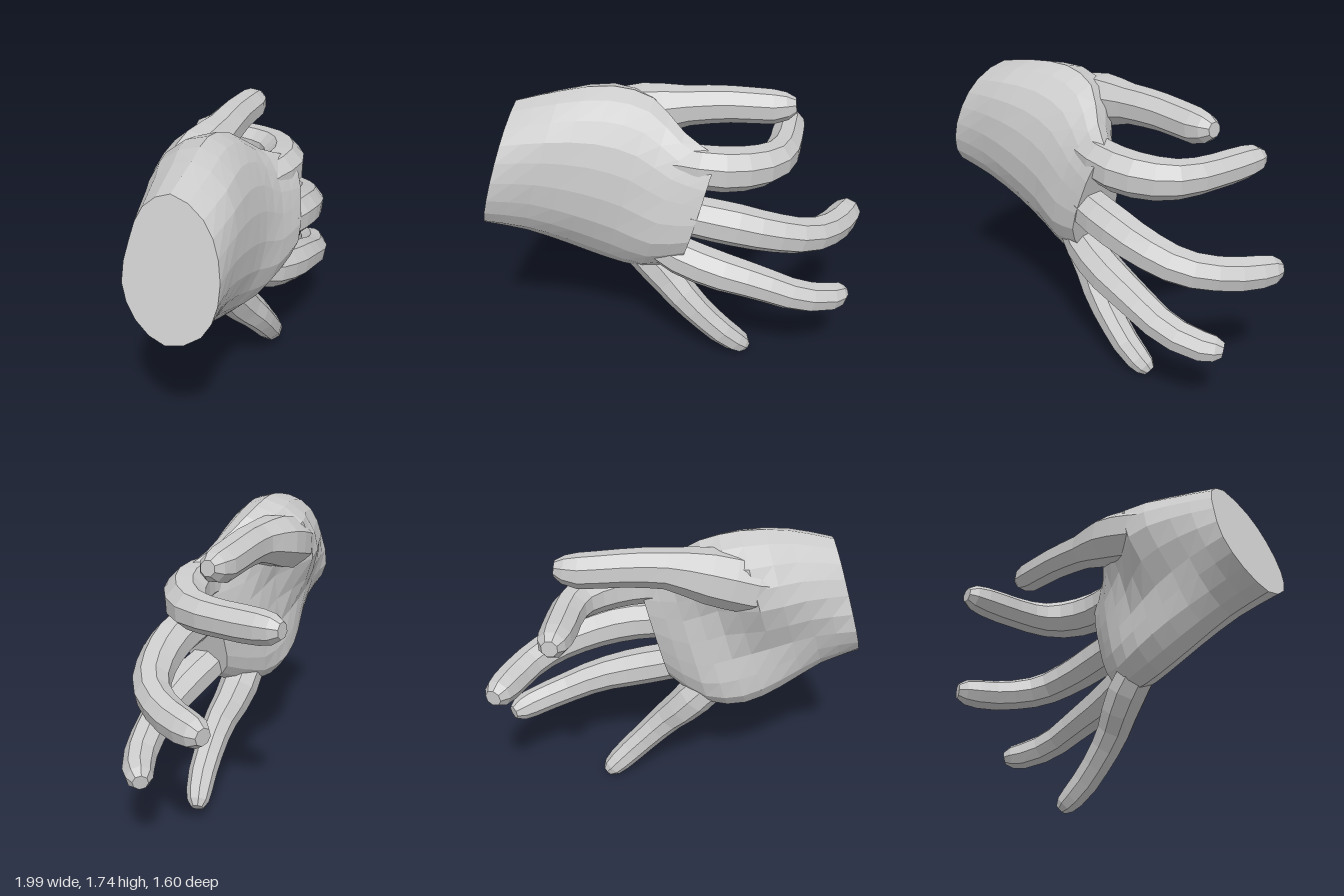
import * as THREE from 'three';

const material = new THREE.MeshStandardMaterial({ color: 0xcccccc, flatShading: true });

// Skin a list of equal-length point rings, closing both ends with a fan
function loft(rings) {
  const n = rings[0].length, pos = [], idx = [];
  rings.forEach(r => r.forEach(p => pos.push(p.x, p.y, p.z)));
  for (let i = 0; i < rings.length - 1; i++) {
    for (let j = 0; j < n; j++) {
      const k = (j + 1) % n, a = i * n, b = a + n;
      idx.push(a + j, a + k, b + j, a + k, b + k, b + j);
    }
  }
  [0, rings.length - 1].forEach((ri, end) => {
    const c = new THREE.Vector3();
    rings[ri].forEach(p => c.addScaledVector(p, 1 / n));
    const ci = pos.length / 3;
    pos.push(c.x, c.y, c.z);
    for (let j = 0; j < n; j++) {
      const a = ri * n + j, b = ri * n + (j + 1) % n;
      if (end) idx.push(ci, a, b); else idx.push(ci, b, a);
    }
  });
  const g = new THREE.BufferGeometry();
  g.setAttribute('position', new THREE.Float32BufferAttribute(pos, 3));
  g.setIndex(idx);
  const flat = g.toNonIndexed();
  flat.computeVertexNormals();
  return flat;
}

// Tapered digit along a curve; each key is [x, y, z, radius]
function digit(keys, steps = 12, sides = 8) {
  const curve = new THREE.CatmullRomCurve3(keys.map(k => new THREE.Vector3(k[0], k[1], k[2])));
  const last = keys.length - 1;
  // dense steps near the end round off the fingertip
  const us = [];
  for (let i = 0; i < steps; i++) us.push(0.91 * i / (steps - 1));
  us.push(0.965, 1);
  const round = u => (u > 0.99 ? 0.55 : u > 0.95 ? 0.9 : 1);
  let normal = new THREE.Vector3(0, 1, 0);
  const rings = us.map(u => {
    const t = curve.getUtoTmapping(u), f = t * last;
    const i = Math.min(Math.floor(f), last - 1);
    const r = THREE.MathUtils.lerp(keys[i][3], keys[i + 1][3], f - i) * round(u);
    const c = curve.getPoint(t), d = curve.getTangent(t);
    normal = normal.clone().addScaledVector(d, -normal.dot(d)).normalize();
    const side = new THREE.Vector3().crossVectors(d, normal);
    return Array.from({ length: sides }, (_, j) => {
      const a = (j + 0.5) / sides * Math.PI * 2;
      return c.clone().addScaledVector(normal, r * Math.cos(a)).addScaledVector(side, r * Math.sin(a));
    });
  });
  return loft(rings);
}

// Palm cross-section: back-of-hand and palm depths at fixed heights, on a slanted plane
const heights = [0.12, 0.35, 0.65, 0.88];
function section({ x, top, bottom, back, palm }) {
  const at = (y, z) => new THREE.Vector3(x + 0.32 * (y - 1.2) + 0.48 * (z - 0.3), y, z);
  const row = t => THREE.MathUtils.lerp(top[0], bottom[0], t);
  const outline = new THREE.CatmullRomCurve3([
    at(...top),
    ...heights.map((t, i) => at(row(t), back[i])),
    at(...bottom),
    ...heights.map((t, i) => at(row(t), palm[i])).reverse(),
  ], true);
  return outline.getPoints(20).slice(0, 20);
}

// Extra rings between sections, following a smooth curve through matching points
function smoothRings(rings, count) {
  const rails = rings[0].map((_, j) => new THREE.CatmullRomCurve3(rings.map(r => r[j])));
  return Array.from({ length: count + 1 }, (_, i) => rails.map(c => c.getPoint(i / count)));
}

export function createModel() {
  const hand = new THREE.Group();
  hand.name = 'hand';
  const add = (name, geometry) => {
    const mesh = new THREE.Mesh(geometry, material);
    mesh.name = name;
    hand.add(mesh);
  };

  // Wrist to knuckles; top and bottom are [y, z]
  add('palm', loft(smoothRings([
    { x: -0.99, top: [1.66, 0.46], bottom: [0.93, 0.6], back: [0.64, 0.75, 0.8, 0.76], palm: [0.34, 0.31, 0.32, 0.43] },
    { x: -0.72, top: [1.72, 0.33], bottom: [0.85, 0.46], back: [0.53, 0.63, 0.66, 0.61], palm: [0.17, 0.13, 0.22, 0.32] },
    { x: -0.42, top: [1.74, 0.17], bottom: [0.72, 0.31], back: [0.37, 0.49, 0.53, 0.45], palm: [-0.03, -0.04, 0.11, 0.16] },
    { x: -0.15, top: [1.68, 0.08], bottom: [0.62, 0.19], back: [0.26, 0.38, 0.42, 0.34], palm: [-0.07, 0.0, 0.04, 0.05] },
    { x: 0.1, top: [1.53, 0.1], bottom: [0.6, 0.13], back: [0.22, 0.31, 0.36, 0.28], palm: [0.0, -0.02, -0.02, 0.01] },
    { x: 0.33, top: [1.44, 0.11], bottom: [0.71, 0.13], back: [0.19, 0.25, 0.29, 0.23], palm: [0.03, 0.0, 0.01, 0.04] },
  ].map(section), 10)));

  // Digits, from buried base to tip
  add('thumb', digit([
    [-0.68, 1.42, 0.32, 0.1], [-0.47, 1.46, 0.11, 0.16], [-0.25, 1.53, -0.02, 0.165], [0.0, 1.58, -0.13, 0.115],
    [0.22, 1.59, -0.255, 0.105], [0.42, 1.58, -0.36, 0.1], [0.54, 1.595, -0.415, 0.08],
  ]));
  add('indexFinger', digit([
    [-0.1, 1.34, 0.2, 0.08], [0.12, 1.35, 0.13, 0.12], [0.3, 1.34, 0.07, 0.13], [0.45, 1.325, -0.08, 0.125],
    [0.51, 1.32, -0.25, 0.11], [0.48, 1.32, -0.42, 0.1], [0.42, 1.32, -0.6, 0.1], [0.36, 1.33, -0.79, 0.085],
  ]));
  add('middleFinger', digit([
    [-0.02, 1.1, 0.23, 0.07], [0.2, 1.07, 0.18, 0.12], [0.4, 1.04, 0.105, 0.125], [0.6, 0.98, -0.02, 0.115],
    [0.75, 0.92, -0.18, 0.105], [0.81, 0.885, -0.36, 0.1], [0.82, 0.865, -0.52, 0.1], [0.81, 0.86, -0.73, 0.09],
  ]));
  add('ringFinger', digit([
    [-0.12, 0.88, 0.24, 0.07], [0.1, 0.79, 0.19, 0.115], [0.32, 0.72, 0.13, 0.12], [0.55, 0.65, 0.03, 0.105],
    [0.75, 0.56, -0.09, 0.095], [0.88, 0.51, -0.22, 0.09], [0.955, 0.49, -0.36, 0.08],
  ], 10));
  add('littleFinger', digit([
    [-0.3, 0.86, 0.22, 0.07], [-0.12, 0.67, 0.13, 0.125], [-0.02, 0.55, 0.1, 0.115], [0.1, 0.42, 0.085, 0.1],
    [0.21, 0.29, 0.04, 0.09], [0.33, 0.15, -0.03, 0.085], [0.43, 0.03, -0.125, 0.068],
  ], 10));
  return hand;
}
